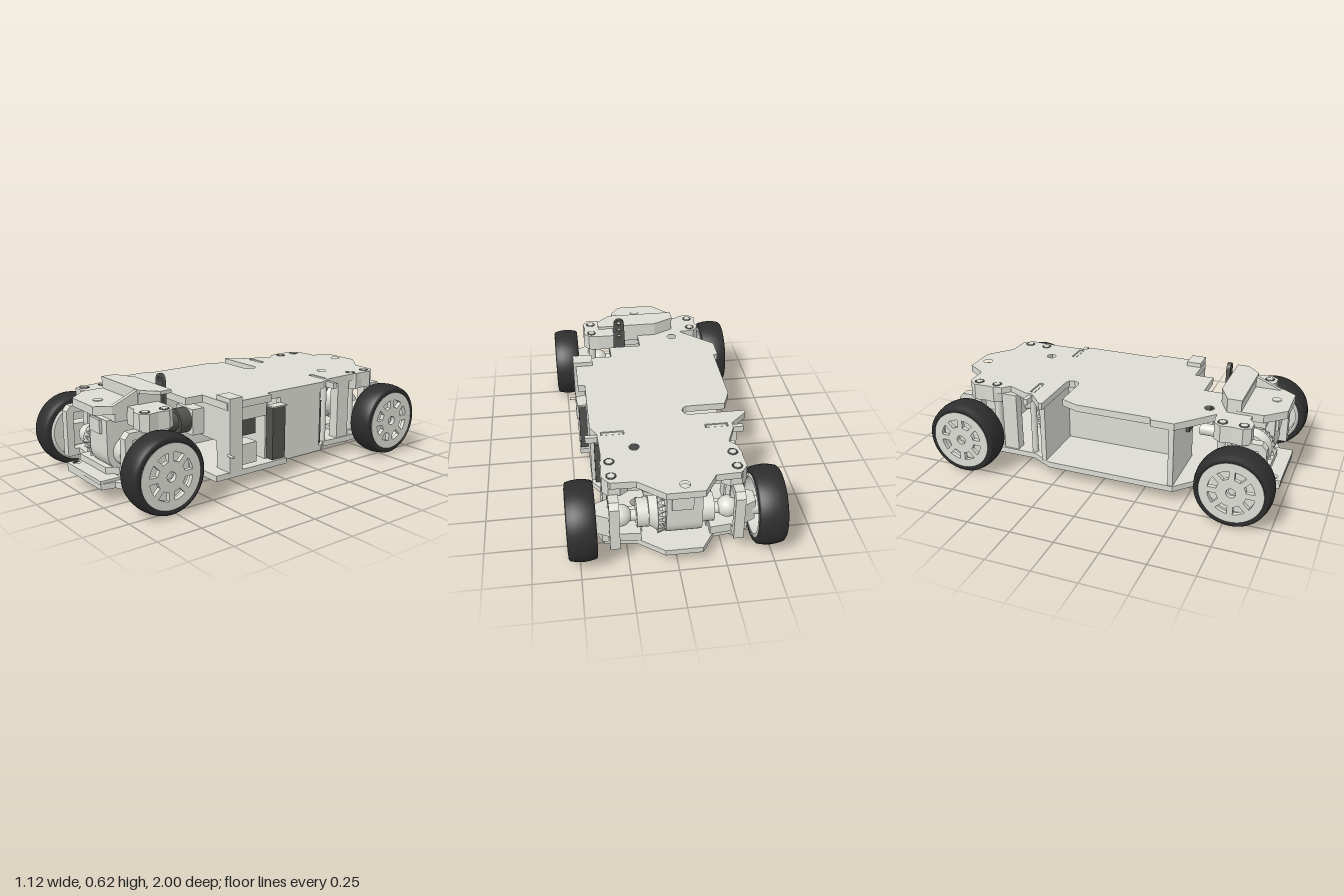
import * as THREE from 'three';

const light = new THREE.MeshStandardMaterial({ color: 0xdcdcd5 });
light.name = 'light grey plastic';
const dark = new THREE.MeshStandardMaterial({ color: 0x525250 });
dark.name = 'dark grey parts';
const rubber = new THREE.MeshStandardMaterial({ color: 0x2e2e2e });
rubber.name = 'black rubber';

function add(parent, name, geo, mat = light) {
  const m = new THREE.Mesh(geo, mat);
  m.name = name;
  parent.add(m);
  return m;
}
// box given by its limits
function box(parent, name, x0, x1, y0, y1, z0, z1, mat) {
  const m = add(parent, name, new THREE.BoxGeometry(x1 - x0, y1 - y0, z1 - z0), mat);
  m.position.set((x0 + x1) / 2, (y0 + y1) / 2, (z0 + z1) / 2);
  return m;
}
// cylinder along an axis, from a to b; p is the position on the other axes
function rod(parent, name, axis, a, b, p, r0, r1 = r0, mat = light, n = 24) {
  const g = new THREE.CylinderGeometry(r1, r0, b - a, n);
  if (axis === 'x') g.rotateZ(-Math.PI / 2);
  if (axis === 'z') g.rotateX(Math.PI / 2);
  const m = add(parent, name, g, mat), c = (a + b) / 2;
  if (axis === 'x') m.position.set(c, p[0], p[1]);
  if (axis === 'y') m.position.set(p[0], c, p[1]);
  if (axis === 'z') m.position.set(p[0], p[1], c);
  return m;
}
const path = (pts) => new THREE.Shape(pts.map(([a, b]) => new THREE.Vector2(a, b)));
const hole = (x, y, r) => new THREE.Path().absarc(x, y, r, 0, Math.PI * 2, true);
// horizontal plate from an [x, z] outline, with round holes [x, z, r] and slots [x0, x1, z0, z1]
function plate(parent, name, pts, y0, y1, holes = [], slots = []) {
  const s = path(pts.map(([x, z]) => [x, -z]));
  for (const [x, z, r] of holes) s.holes.push(hole(x, -z, r));
  for (const [x0, x1, z0, z1] of slots)
    s.holes.push(path([[x0, -z0], [x0, -z1], [x1, -z1], [x1, -z0]]));
  const g = new THREE.ExtrudeGeometry(s, { depth: y1 - y0, bevelEnabled: false, curveSegments: 16 });
  g.rotateX(-Math.PI / 2).translate(0, y0, 0);
  return add(parent, name, g);
}
// part extruded along x from a [z, y] outline
function sidePart(parent, name, shape, x0, x1, mat) {
  const g = new THREE.ExtrudeGeometry(shape, { depth: x1 - x0, bevelEnabled: false, curveSegments: 16 });
  return add(parent, name, g.rotateY(-Math.PI / 2).translate(x1, 0, 0), mat);
}

// wheel with its outer face towards +x
function makeWheel() {
  const w = new THREE.Group();
  w.name = 'wheel';
  const prof = [[0.168, -0.074], [0.192, -0.074], [0.201, -0.066], [0.208, -0.035], [0.211, 0],
    [0.208, 0.035], [0.201, 0.066], [0.192, 0.074], [0.168, 0.074], [0.168, -0.074]];
  const tyre = new THREE.LatheGeometry(prof.map(([r, y]) => new THREE.Vector2(r, y)), 64);
  add(w, 'tyre', tyre.rotateZ(-Math.PI / 2), rubber);
  const face = new THREE.Shape().absarc(0, 0, 0.172, 0, Math.PI * 2);
  face.holes.push(hole(0, 0, 0.026));
  for (let i = 0; i < 8; i++) {
    const a = (i + 0.5) * Math.PI / 4, s = new THREE.Path();
    s.absarc(0, 0, 0.125, a - 0.27, a + 0.27, false);
    s.absarc(0, 0, 0.08, a + 0.2, a - 0.2, true);
    face.holes.push(s);
  }
  const rim = new THREE.ExtrudeGeometry(face, { depth: 0.025, bevelEnabled: false, curveSegments: 32 });
  add(w, 'rimFace', rim.rotateY(Math.PI / 2).translate(0.051, 0, 0));
  const barrel = new THREE.LatheGeometry([[0.15, -0.075], [0.17, -0.075], [0.17, 0.06], [0.15, 0.06], [0.15, -0.075]]
    .map(([r, y]) => new THREE.Vector2(r, y)), 48);
  add(w, 'rimBarrel', barrel.rotateZ(-Math.PI / 2));
  rod(w, 'rimBack', 'x', -0.01, 0.005, [0, 0], 0.152);
  rod(w, 'axleNut', 'x', 0, 0.055, [0, 0], 0.02, 0.02, light, 6);
  return w;
}

// one axle assembly, built for the front end
function makeAxle() {
  const g = new THREE.Group();
  g.name = 'axle';
  const Z = 0.79;
  for (const s of [-1, 1]) {
    const side = new THREE.Group();
    side.name = s > 0 ? 'leftSuspension' : 'rightSuspension';
    g.add(side);
    const wheel = makeWheel();
    wheel.position.set(s * 0.484, 0.214, Z);
    if (s < 0) wheel.rotation.y = Math.PI;
    side.add(wheel);
    const sx = (a, b) => s > 0 ? [a, b] : [-b, -a];
    const flip = (pts) => pts.map(([x, z]) => [s * x, z]);
    const lobe = flip([[0.17, 0.62], [0.28, 0.62], [0.34, 0.63], [0.37, 0.67], [0.36, 0.73], [0.37, 0.79],
      [0.34, 0.83], [0.28, 0.83], [0.24, 0.8], [0.17, 0.8]]);
    plate(side, 'upperMount', lobe, 0.39, 0.485);
    plate(side, 'lowerMount', lobe, 0.1, 0.13);
    for (const z of [0.67, 0.785]) {
      const ring = add(side, 'screwRing', new THREE.TorusGeometry(0.024, 0.004, 8, 24), dark);
      ring.rotation.x = Math.PI / 2;
      ring.position.set(s * 0.32, 0.484, z);
      rod(side, 'screwHead', 'y', 0.48, 0.488, [s * 0.32, z], 0.019);
    }
    rod(side, 'lowerScrew', 'y', 0.03, 0.08, [s * 0.315, 0.785], 0.023);
    rod(side, 'post', 'y', 0.1, 0.4, [s * 0.32, 0.67], 0.023);
    // steering frame around the driveshaft
    const f = path([[0.77, 0.11], [0.917, 0.11], [0.917, 0.37], [0.89, 0.4], [0.77, 0.4]]);
    f.holes.push(path([[0.79, 0.15], [0.79, 0.36], [0.875, 0.36], [0.875, 0.15]]));
    sidePart(side, 'kingpinFrame', f, ...sx(0.293, 0.345));
    plate(side, 'hubCarrier', flip([[0.34, 0.72], [0.42, 0.75], [0.42, 0.83], [0.34, 0.87]]), 0.155, 0.28);
    plate(side, 'lowerArm', flip([[0.18, 0.72], [0.38, 0.74], [0.4, 0.79], [0.38, 0.84], [0.18, 0.86]]), 0.1, 0.15);
    rod(side, 'driveshaft', 'x', ...sx(0.18, 0.48), [0.22, Z], 0.03);
    const ball = add(side, 'shaftJoint', new THREE.SphereGeometry(0.058, 24, 16));
    ball.position.set(s * 0.28, 0.225, Z);
    rod(side, 'hubBearing', 'x', ...sx(0.37, 0.45), [0.215, Z], 0.05);
  }
  // differential with bevel ring gear
  rod(g, 'differential', 'x', -0.2, 0.2, [0.235, Z], 0.077);
  rod(g, 'gearCone', 'x', -0.14, -0.09, [0.255, Z], 0.085, 0.118);
  rod(g, 'ringGear', 'x', -0.09, -0.075, [0.255, Z], 0.118);
  for (let i = 0; i < 24; i++) {
    const a = i * Math.PI / 12;
    const t = add(g, 'gearTooth', new THREE.ConeGeometry(0.017, 0.045, 4).rotateZ(-Math.PI / 2));
    t.position.set(-0.075, 0.255 + Math.cos(a) * 0.114, Z + Math.sin(a) * 0.114);
    t.rotation.x = a;
  }
  const house = new THREE.Shape().absarc(Z, 0.235, 0.11, -Math.PI, 0);
  house.lineTo(0.9, 0.415);
  house.lineTo(0.64, 0.415);
  house.lineTo(0.64, 0.2);
  sidePart(g, 'gearHousing', house, -0.055, 0.13);
  box(g, 'housingLug', -0.03, 0.08, 0.335, 0.41, 0.88, 0.915);
  box(g, 'housingTop', -0.17, 0.17, 0.41, 0.46, 0.62, 0.87);
  rod(g, 'propShaft', 'z', 0.46, 0.66, [0.03, 0.24], 0.035);
  return g;
}

export function createModel() {
  const car = new THREE.Group();
  car.name = 'carChassis';
  const front = makeAxle(), rear = makeAxle();
  front.name = 'frontAxle';
  rear.name = 'rearAxle';
  rear.rotation.y = Math.PI;
  car.add(front, rear);

  // floor and deck
  const holes = [[-0.185, 0.56, 0.027], [0.18, -0.565, 0.027]];
  plate(car, 'floorPlate', [[-0.13, -0.955], [0.065, -0.955], [0.2, -0.85], [0.37, -0.83], [0.37, -0.62], [0.36, -0.42],
    [0.4, -0.365], [0.4, -0.05], [0.45, -0.05], [0.45, 0.44], [0.33, 0.44], [0.2, 0.6], [0.37, 0.64], [0.37, 0.82],
    [0.2, 0.9], [0.185, 0.975], [-0.19, 0.975], [-0.2, 0.9], [-0.37, 0.82], [-0.37, 0.66], [-0.21, 0.65], [-0.435, 0.44],
    [-0.435, -0.3], [-0.37, -0.42], [-0.37, -0.83], [-0.2, -0.85]], 0.072, 0.105,
  [...holes, [-0.155, 0.935, 0.022]], [[-0.1, 0.1, -0.49, -0.41]]);
  plate(car, 'topDeck', [[-0.13, -0.955], [0.065, -0.955], [0.2, -0.845], [0.33, -0.84], [0.37, -0.79], [0.36, -0.61],
    [0.365, -0.43], [0.4, -0.365], [0.4, 0.055], [0.44, 0.06], [0.44, 0.36], [0.22, 0.36], [0.22, 0.47], [0.03, 0.47],
    [0.03, 0.63], [-0.21, 0.65], [-0.435, 0.44], [-0.435, 0.31], [-0.41, 0.3], [-0.41, -0.13], [-0.37, -0.23],
    [-0.155, -0.23], [-0.13, -0.242], [-0.12, -0.27], [-0.13, -0.3], [-0.155, -0.31], [-0.44, -0.31], [-0.465, -0.312],
    [-0.465, -0.33], [-0.37, -0.42], [-0.37, -0.46], [-0.32, -0.58], [-0.36, -0.62], [-0.37, -0.79], [-0.33, -0.84],
    [-0.2, -0.845]], 0.445, 0.485, [...holes, [-0.035, -0.895, 0.027]],
  [[-0.345, -0.22, -0.445, -0.415], [0.22, 0.345, -0.445, -0.415]]);
  rod(car, 'deckHoleFloor', 'y', 0.447, 0.465, [-0.035, -0.895], 0.03);
  box(car, 'floorSlot', 0.155, 0.205, 0.07, 0.076, -0.36, 0.08, rubber);

  // inner walls and the open side bay
  box(car, 'bayInnerWall', -0.1, -0.07, 0.1, 0.45, -0.33, 0.42);
  box(car, 'bayFrontWall', -0.43, -0.07, 0.1, 0.45, 0.41, 0.44);
  box(car, 'bayRearWall', -0.42, 0.06, 0.1, 0.45, -0.35, -0.32);
  box(car, 'sideWall', 0.37, 0.4, 0.1, 0.45, -0.345, -0.04);
  box(car, 'crossWall', -0.07, 0.39, 0.1, 0.45, 0.04, 0.06);
  for (const s of [-1, 1]) {
    box(car, 'deckTab', s * 0.2825 - 0.054, s * 0.2825 + 0.054, 0.4, 0.482, -0.44, -0.42);
    box(car, 'edgeTab', s * 0.395 - 0.035, s * 0.395 + 0.035, 0.44, 0.475, -0.445, -0.42);
    box(car, 'rearBracket', s * 0.33 - 0.03, s * 0.33 + 0.03, 0.1, 0.45, -0.62, -0.53);
    rod(car, 'deckPost', 'y', 0.1, 0.45, [s * 0.34, -0.43], 0.018);
  }

  // spur gear and motor plate
  box(car, 'motorPlate', 0.05, 0.38, 0.11, 0.37, -0.375, -0.345, dark);
  rod(car, 'spurGear', 'z', -0.49, -0.44, [0, 0.25], 0.172, 0.172, light, 48);
  for (let i = 0; i < 40; i++) {
    const a = i * Math.PI / 20;
    const t = add(car, 'spurTooth', new THREE.BoxGeometry(0.014, 0.02, 0.05));
    t.position.set(Math.sin(a) * 0.178, 0.25 + Math.cos(a) * 0.178, -0.465);
    t.rotation.z = -a;
  }
  rod(car, 'gearHub', 'z', -0.53, -0.38, [0, 0.25], 0.055, 0.055, dark);
  rod(car, 'pinion', 'z', -0.43, -0.37, [0.2, 0.25], 0.05, 0.05, light, 16);

  // steering servo, with arm and connector
  box(car, 'servoBody', 0.05, 0.38, 0.265, 0.37, 0.12, 0.34, dark);
  box(car, 'servoFace', 0.05, 0.38, 0.255, 0.445, 0.34, 0.355);
  box(car, 'servoNose', 0.07, 0.225, 0.27, 0.415, 0.355, 0.43);
  rod(car, 'servoBoss', 'z', 0.43, 0.5, [0.15, 0.345], 0.07, 0.07, dark);
  rod(car, 'servoShaft', 'z', 0.49, 0.58, [0.15, 0.345], 0.05, 0.045, dark);
  box(car, 'servoRail', -0.21, -0.055, 0.33, 0.37, 0.44, 0.46, dark);
  const arm = new THREE.Shape().absarc(0.15, 0.592, 0.032, 0, Math.PI);
  arm.lineTo(0.11, 0.33);
  arm.lineTo(0.19, 0.33);
  for (const y of [0.595, 0.55, 0.505]) arm.holes.push(hole(0.15, y, 0.012));
  add(car, 'servoArm', new THREE.ExtrudeGeometry(arm, { depth: 0.022, bevelEnabled: false }).translate(0, 0, 0.568), dark);
  box(car, 'servoBracket', 0.34, 0.455, 0.1, 0.51, 0.27, 0.355);
  box(car, 'bracketBeam', 0.36, 0.4, 0.36, 0.45, 0.06, 0.27);
  box(car, 'connector', 0.34, 0.44, 0.125, 0.24, 0.16, 0.28);
  box(car, 'switchBox', 0.38, 0.445, 0.11, 0.408, -0.04, 0.05, dark);
  box(car, 'switchTop', 0.395, 0.453, 0.408, 0.416, -0.045, 0.055);
  rod(car, 'switchPin', 'x', 0.44, 0.49, [0.2, 0.355], 0.007);

  // front bridge, stepped down to a nose plate, with a gusset
  plate(car, 'bridgeTop', [[-0.08, 0.598], [0.28, 0.598], [0.28, 0.665], [0.2, 0.74], [-0.2, 0.74], [-0.2, 0.66]], 0.547, 0.565);
  plate(car, 'bridgeBlock', [[-0.08, 0.6], [0.18, 0.6], [0.18, 0.738], [-0.198, 0.738], [-0.198, 0.66]], 0.455, 0.55);
  plate(car, 'nosePlate', [[-0.2, 0.7], [0.175, 0.7], [0.175, 0.89], [0.12, 0.97], [-0.1, 0.97], [-0.2, 0.86]], 0.455, 0.5);
  sidePart(car, 'gusset', path([[0.735, 0.49], [0.88, 0.49], [0.88, 0.5], [0.735, 0.563]]), 0.15, 0.175);
  rod(car, 'noseScrew', 'y', 0.49, 0.504, [0.02, 0.885], 0.026);

  // flat bumper with a raised rib
  plate(car, 'bumper', [[-0.19, 0.86], [0.185, 0.86], [0.185, 0.978], [-0.19, 0.978]], 0.1, 0.12, [[-0.155, 0.935, 0.022]]);
  plate(car, 'bumperRib', [[-0.19, 0.84], [0.14, 0.84], [0.1, 0.9], [-0.19, 0.9]], 0.115, 0.155);

  // screw bosses under the floor
  for (const [x, z] of [[0.28, 0.3], [-0.15, -0.61], [-0.02, 0.75]])
    rod(car, 'floorBoss', 'y', 0.062, 0.074, [x, z], 0.02, 0.035);
  return car;
}
